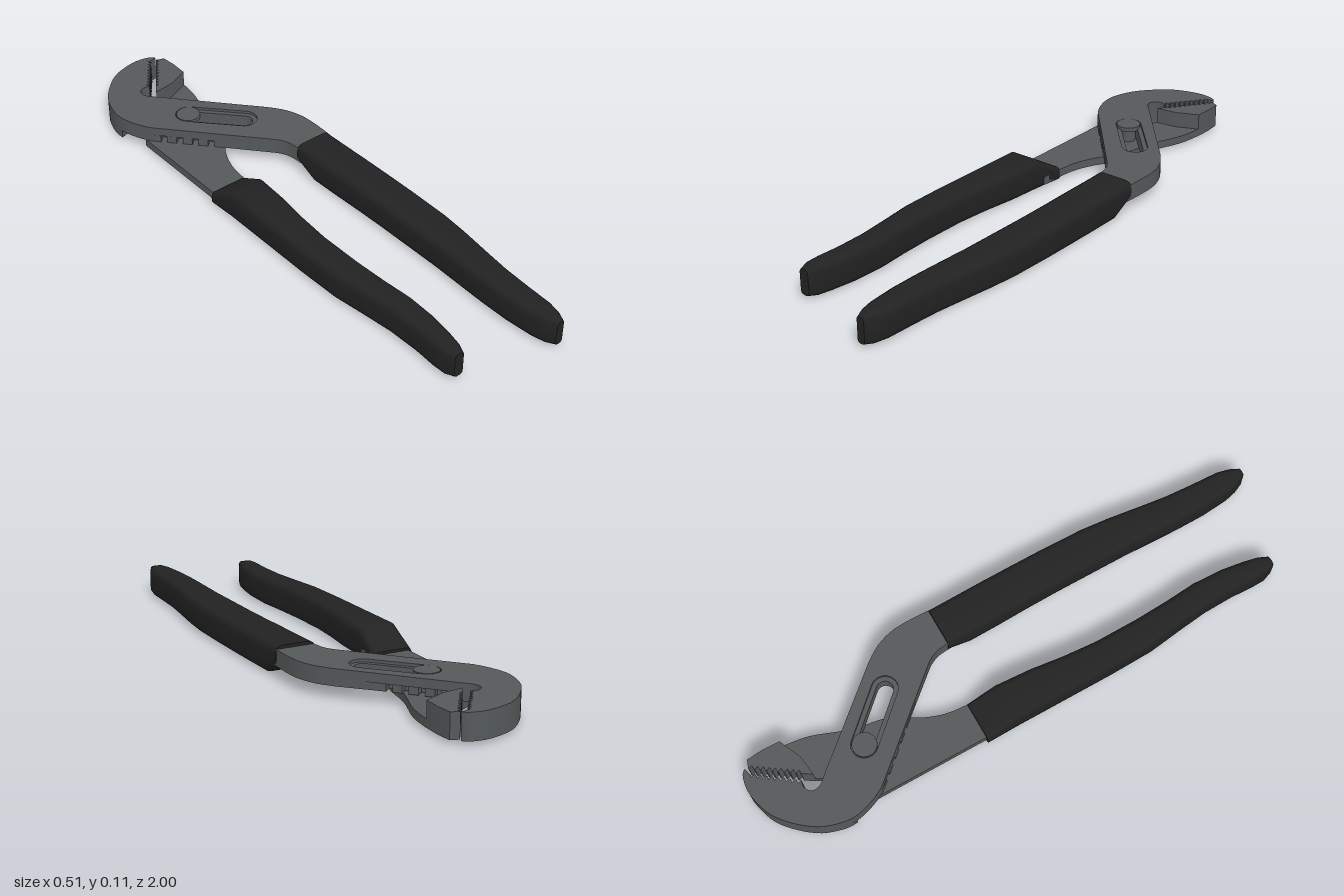
import * as THREE from 'three';
import { toCreasedNormals } from 'three/addons/utils/BufferGeometryUtils.js';

const steel = new THREE.MeshStandardMaterial({ color: 0x545959 });
steel.name = 'dark steel';
const rubber = new THREE.MeshStandardMaterial({ color: 0x222222 });
rubber.name = 'black rubber';

const vec = ([x, z]) => new THREE.Vector2(x, z);

// smooth curve through a few plan points
function curve(points, n = 24) {
  return new THREE.SplineCurve(points.map(vec)).getPoints(n).map(p => [p.x, p.y]);
}

// profile along a straight edge: repeats (along, depth) pairs to the right-hand side of a->b
function toothed(a, b, count, depth, pattern) {
  const dx = b[0] - a[0], dz = b[1] - a[1], len = Math.hypot(dx, dz);
  const out = [a];
  for (let i = 0; i < count; i++) {
    for (const [t, d] of pattern) {
      const s = (i + t) / count;
      out.push([a[0] + dx * s + (-dz / len) * d * depth, a[1] + dz * s + (dx / len) * d * depth]);
    }
  }
  out.push(b);
  return out;
}
const ZIGZAG = [[0.1, 0], [0.5, 1], [0.9, 0]];
const SQUARE = [[0.3, 0], [0.3, 1], [0.7, 1], [0.7, 0]];

// rounded slot outline between two centres
function slot(a, b, r) {
  const ang = Math.atan2(b[1] - a[1], b[0] - a[0]);
  const path = new THREE.Path();
  path.absarc(b[0], b[1], r, ang - Math.PI / 2, ang + Math.PI / 2);
  path.absarc(a[0], a[1], r, ang + Math.PI / 2, ang + Math.PI * 1.5);
  path.closePath();
  return path;
}

// flat part with a plan outline (x, z), standing from y0 to y1
function plate(name, outline, y0, y1, hole) {
  const shape = new THREE.Shape(outline.map(vec));
  if (hole) shape.holes.push(hole);
  const geo = new THREE.ExtrudeGeometry(shape, { depth: y1 - y0, bevelEnabled: false, curveSegments: 12 });
  geo.rotateX(Math.PI / 2).translate(0, y1, 0);
  const mesh = new THREE.Mesh(toCreasedNormals(geo, 0.5), steel);
  mesh.name = name;
  return mesh;
}

// grip lofted from rounded sections [z, xMin, xMax, yMin, yMax]
function grip(name, sections) {
  const pos = [], idx = [], n = 20;
  for (const [z, x0, x1, y0, y1] of sections) {
    const r = Math.min(0.026, (x1 - x0) * 0.35, (y1 - y0) * 0.35);
    for (let c = 0; c < 4; c++) {
      const cx = c === 0 || c === 3 ? x1 - r : x0 + r;
      const cy = c < 2 ? y1 - r : y0 + r;
      for (let k = 0; k < 5; k++) {
        const t = (c + k / 4) * Math.PI / 2;
        pos.push(cx + r * Math.cos(t), cy + r * Math.sin(t), z);
      }
    }
  }
  const last = sections.length - 1;
  for (let i = 0; i < last; i++) {
    for (let j = 0; j < n; j++) {
      const a = i * n + j, b = i * n + (j + 1) % n;
      idx.push(a, b, b + n, a, b + n, a + n);
    }
  }
  for (const i of [0, last]) {
    const [z, x0, x1, y0, y1] = sections[i], centre = pos.length / 3;
    pos.push((x0 + x1) / 2, (y0 + y1) / 2, z);
    for (let j = 0; j < n; j++) {
      const a = i * n + j, b = i * n + (j + 1) % n;
      idx.push(centre, ...(i ? [a, b] : [b, a]));
    }
  }
  const geo = new THREE.BufferGeometry();
  geo.setAttribute('position', new THREE.Float32BufferAttribute(pos, 3));
  geo.setIndex(idx);
  const mesh = new THREE.Mesh(toCreasedNormals(geo, 0.65), rubber);
  mesh.name = name;
  return mesh;
}

function disc(name, r, y0, y1, x, z) {
  const mesh = new THREE.Mesh(new THREE.CylinderGeometry(r, r, y1 - y0, 32), steel);
  mesh.position.set(x, (y0 + y1) / 2, z);
  mesh.name = name;
  return mesh;
}

export function createModel() {
  const model = new THREE.Group();
  model.name = 'adjustablePliers';

  // upper arm: hooked jaw, slotted neck and handle tang
  const hookTop = [[0.06, -0.975], [0.045, -0.99], [0, -1], [-0.05, -0.995], [-0.12, -0.97], [-0.18, -0.92], [-0.23, -0.855], [-0.255, -0.78]];
  const hookBack = curve([...hookTop, [-0.256, -0.725], [-0.238, -0.665], [-0.215, -0.62]], 40);
  const jawTeeth = toothed([-0.065, -0.833], [0.038, -0.97], 9, -0.011, ZIGZAG);
  const throat = curve([[-0.08, -0.755], [-0.11, -0.79], [-0.112, -0.82], [-0.09, -0.837], [-0.065, -0.833]], 12);
  const elbowLeft = curve([[0.07, -0.297], [0.095, -0.265], [0.11, -0.22], [0.115, -0.12]], 10);
  const elbowRight = curve([[0.24, -0.12], [0.248, -0.2], [0.247, -0.32], [0.222, -0.4], [0.18, -0.46]], 16);
  const armOutline = (left, right) => [...hookBack, ...left, ...elbowLeft, ...elbowRight, ...right, ...throat, ...jawTeeth.slice(1)];
  const plain = armOutline([], []);
  const grooved = armOutline(
    toothed([-0.2, -0.602], [-0.05, -0.435], 4, -0.03, SQUARE),
    toothed([0.08, -0.565], [-0.055, -0.72], 4, -0.03, SQUARE));
  const slotA = [-0.06, -0.6], slotB = [0.077, -0.452];

  const upperArm = new THREE.Group();
  upperArm.name = 'upperArm';
  upperArm.add(
    plate('groovedLayer', grooved, 0.046, 0.072, slot(slotA, slotB, 0.029)),
    plate('middleLayer', plain, 0.072, 0.093, slot(slotA, slotB, 0.029)),
    plate('recessedLayer', plain, 0.093, 0.103, slot(slotA, slotB, 0.045)),
    plate('hookJaw', [...curve([...hookTop, [-0.256, -0.735]], 32), [-0.108, -0.785], ...throat.slice(5), ...jawTeeth.slice(1)], 0.015, 0.046),
  );

  // lower arm: thin plate carrying the thick movable jaw
  const lowerArm = new THREE.Group();
  lowerArm.name = 'lowerArm';
  lowerArm.add(
    plate('lowerPlate', [
      [-0.22, -0.15], [-0.22, -0.64], [-0.17, -0.715], [-0.085, -0.755], [-0.065, -0.79], [0.01, -0.8],
      ...curve([[0.088, -0.835], [0.074, -0.74], [0.027, -0.61], [0, -0.48], [-0.055, -0.385], [-0.085, -0.29], [-0.09, -0.15]], 30),
    ], 0.015, 0.043),
    plate('movableJaw', [
      ...toothed([-0.045, -0.822], [0.056, -0.965], 9, 0.011, ZIGZAG),
      [0.085, -0.955], [0.09, -0.9], [0.088, -0.835], [0.01, -0.8], [-0.065, -0.79],
    ], 0.015, 0.1),
  );

  // pivot pin
  const pivot = new THREE.Group();
  pivot.name = 'pivot';
  pivot.add(
    disc('pivotShaft', 0.026, 0.03, 0.09, ...slotA),
    disc('pivotHead', 0.042, 0.088, 0.104, ...slotA),
  );

  // dipped handle grips
  const lo = 0.003, hi = 0.114;
  model.add(upperArm, lowerArm, pivot,
    grip('rightGrip', [
      [-0.235, -0.232, -0.087, lo, 0.052], [-0.13, -0.232, -0.092, lo, hi], [0, -0.232, -0.1, lo, hi],
      [0.12, -0.232, -0.115, lo, hi], [0.24, -0.232, -0.124, lo, hi], [0.4, -0.228, -0.123, lo, hi],
      [0.52, -0.212, -0.117, lo, hi], [0.63, -0.199, -0.108, lo, hi], [0.74, -0.196, -0.112, lo, hi],
      [0.82, -0.2, -0.124, lo, hi], [0.87, -0.198, -0.135, 0.005, 0.112], [0.905, -0.185, -0.15, 0.014, 0.103],
    ]),
    grip('leftGrip', [
      [-0.195, 0.108, 0.25, 0.045, hi], [-0.11, 0.11, 0.252, lo, hi], [0, 0.112, 0.254, lo, hi],
      [0.12, 0.116, 0.255, lo, hi], [0.24, 0.118, 0.255, lo, hi], [0.4, 0.118, 0.252, lo, hi],
      [0.5, 0.118, 0.243, lo, hi], [0.63, 0.114, 0.226, lo, hi], [0.72, 0.112, 0.215, lo, hi],
      [0.82, 0.113, 0.209, lo, hi], [0.92, 0.122, 0.205, lo, hi], [0.965, 0.134, 0.194, 0.005, 0.112],
      [0.998, 0.15, 0.178, 0.014, 0.103],
    ]));
  return model;
}
